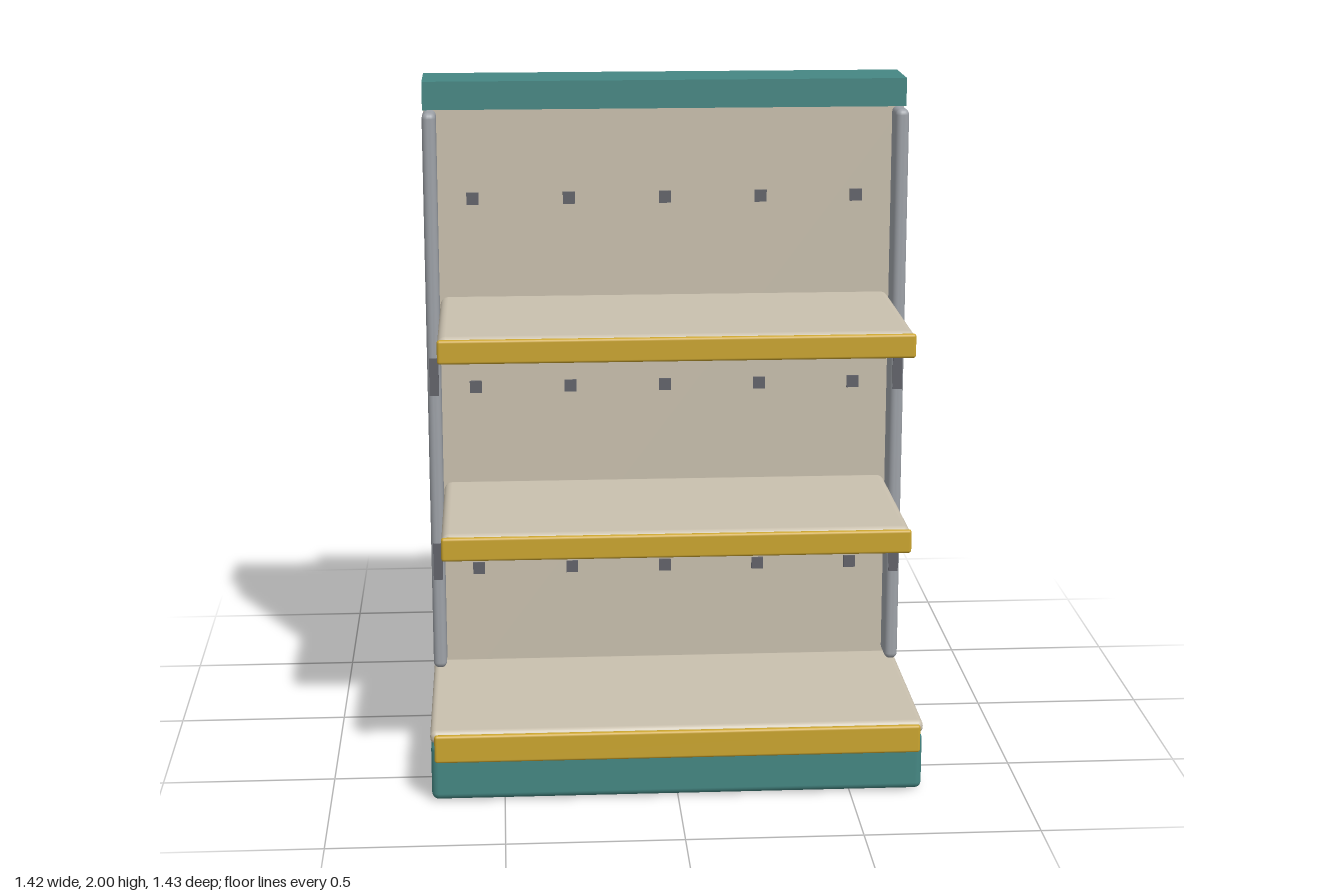
import * as THREE from 'three';
import { RoundedBoxGeometry } from 'three/addons/geometries/RoundedBoxGeometry.js';

const material = (name, color) => {
  const m = new THREE.MeshStandardMaterial({ color });
  m.name = name;
  return m;
};

export function createModel() {
  const cream = material('cream', 0xc9c0ae);
  const teal = material('teal', 0x458783);
  const yellow = material('yellow', 0xcba52f);
  const steel = material('steel', 0x9ea2a8);
  const dark = material('darkSteel', 0x62636a);

  // Box given by its x, y and z ranges; a radius rounds the edges
  function box(parent, name, mat, [x0, x1], [y0, y1], [z0, z1], radius = 0) {
    const size = [x1 - x0, y1 - y0, z1 - z0];
    const geometry = radius
      ? new RoundedBoxGeometry(...size, 3, radius)
      : new THREE.BoxGeometry(...size);
    const mesh = new THREE.Mesh(geometry, mat);
    mesh.name = name;
    mesh.position.set((x0 + x1) / 2, (y0 + y1) / 2, (z0 + z1) / 2);
    parent.add(mesh);
  }

  // One display side, facing +z
  function displaySide(name) {
    const side = new THREE.Group();
    side.name = name;

    // Plinth, bottom deck and its price rail
    box(side, 'plinth', teal, [-0.71, 0.71], [0.004, 0.176], [0.07, 0.692], 0.02);
    box(side, 'bottomDeck', cream, [-0.712, 0.712], [0.174, 0.214], [0.07, 0.692], 0.018);
    box(side, 'bottomPriceRail', yellow, [-0.7, 0.7], [0.126, 0.209], [0.695, 0.714], 0.008);

    // Shelves with a price rail in front and a support bar at the back
    for (const top of [0.785, 1.358]) {
      box(side, 'shelf', cream, [-0.67, 0.67], [top - 0.052, top], [0.07, 0.642], 0.024);
      box(side, 'shelfPriceRail', yellow, [-0.67, 0.67], [top - 0.073, top - 0.004], [0.638, 0.656], 0.008);
      box(side, 'supportBar', dark, [-0.67, 0.67], [top - 0.138, top - 0.045], [0.07, 0.174], 0.022);
    }

    // Uprights with slot plates
    for (const s of [-1, 1]) {
      const span = (a, b) => (s > 0 ? [a, b] : [-b, -a]);
      box(side, 'upright', steel, span(0.672, 0.712), [0.217, 1.917], [0.07, 0.172], 0.017);
      for (const y of [0.56, 1.133]) {
        box(side, 'slotPlate', dark, span(0.678, 0.706), [y - 0.057, y + 0.057], [0.167, 0.176]);
      }
    }

    // Rows of square pegboard studs
    for (const y of [0.505, 1.077, 1.65]) {
      for (let i = -2; i <= 2; i++) {
        const x = i * 0.285;
        box(side, 'stud', dark, [x - 0.018, x + 0.018], [y - 0.018, y + 0.018], [0.068, 0.077]);
      }
    }
    return side;
  }

  const model = new THREE.Group();
  model.name = 'doubleSidedShelfUnit';

  // Central wall and header
  box(model, 'backPanel', cream, [-0.71, 0.71], [0, 1.918], [-0.07, 0.07]);
  box(model, 'header', teal, [-0.712, 0.712], [1.917, 2], [-0.1, 0.1]);

  const front = displaySide('frontSide');
  const back = displaySide('backSide');
  back.rotation.y = Math.PI;
  model.add(front, back);
  return model;
}
